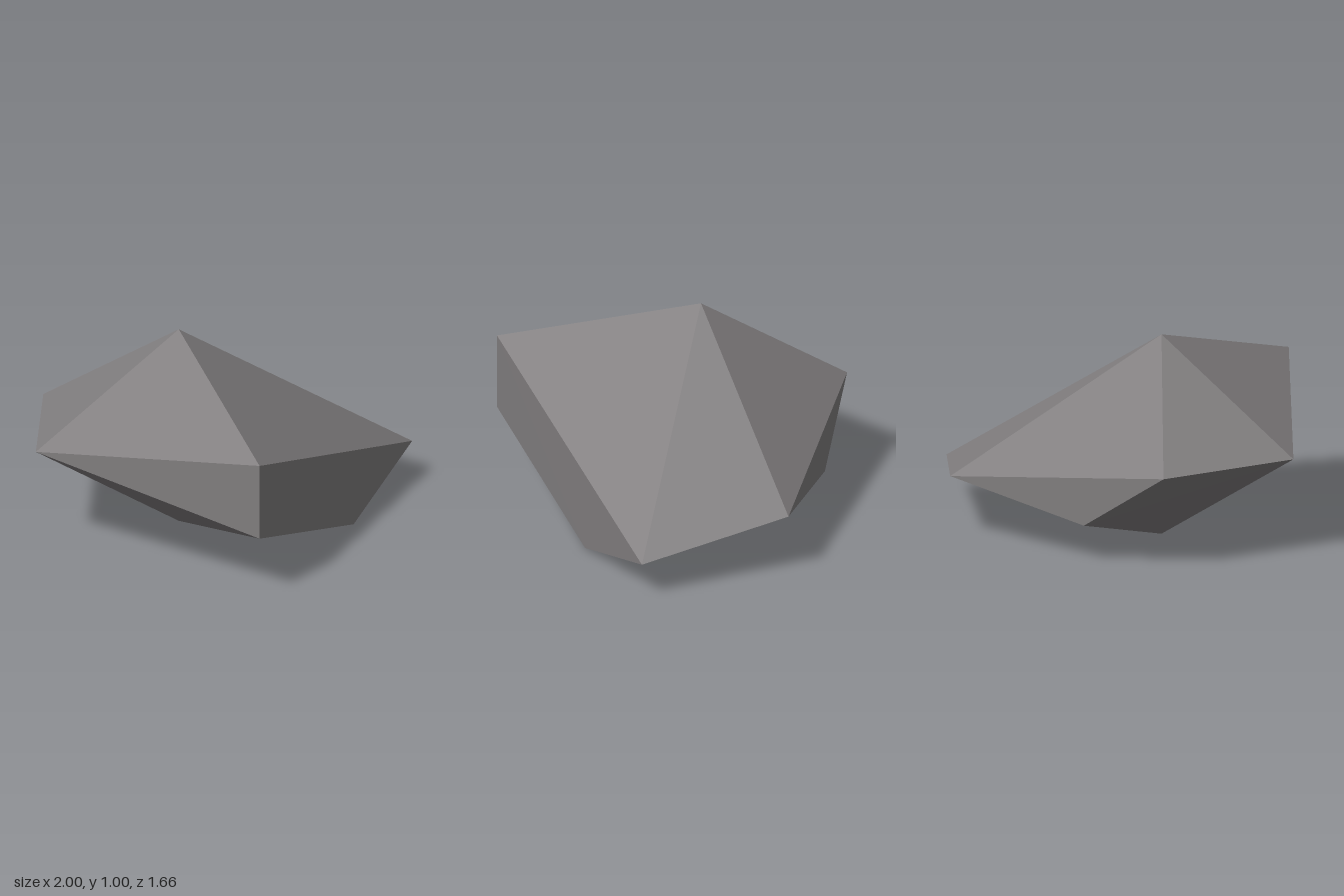
import * as THREE from 'three';
import { ConvexGeometry } from 'three/addons/geometries/ConvexGeometry.js';

export function createModel() {
  const group = new THREE.Group();
  group.name = 'rock';

  const stone = new THREE.MeshStandardMaterial({ color: 0x807d7e });
  stone.name = 'grey stone';

  // Corners of the faceted boulder
  const corners = [
    [-0.24, 1.0, -0.19],  // peak
    [-1.0, 0.5, -0.17],   // side point, -x
    [-0.27, 0.69, 0.83],  // front edge, top
    [-0.27, 0.31, 0.83],  // front edge, bottom
    [1.0, 0.19, -0.22],   // side point, +x
    [0.55, 0.31, -0.83],  // back corner, +x
    [-0.68, 0.5, -0.8],   // back corner, -x
    [-0.22, 0.19, -0.81], // back corner, underside
    [-0.24, 0, -0.19],    // resting edge, -x end
    [0.51, 0, 0.19],      // resting edge, +x end
  ].map((p) => new THREE.Vector3(...p));

  // The hull of the corners gives flat, hard-edged facets
  const boulder = new THREE.Mesh(new ConvexGeometry(corners), stone);
  boulder.name = 'boulder';
  group.add(boulder);

  return group;
}
